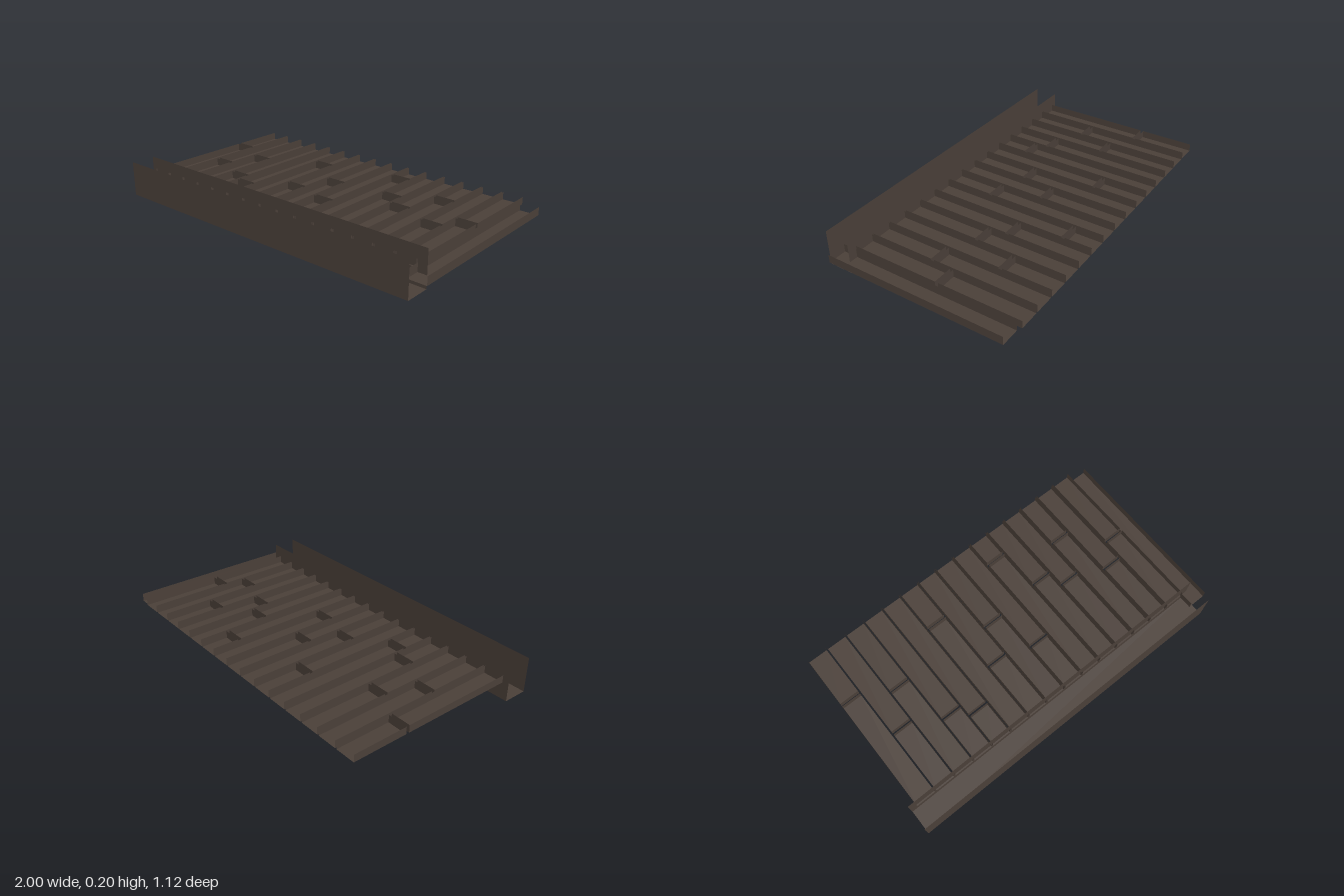
import * as THREE from 'three';
import { mergeGeometries } from 'three/addons/utils/BufferGeometryUtils.js';

const darkBronze = new THREE.MeshStandardMaterial({ color: 0x4b4039, side: THREE.DoubleSide });
darkBronze.name = 'darkBronze';

// Open sheet-metal trough: floor plus the chosen upright walls
function trough(name, [x0, x1], [y0, y1], [z0, z1], walls) {
  const w = x1 - x0, h = y1 - y0, d = z1 - z0;
  const cx = (x0 + x1) / 2, cy = (y0 + y1) / 2, cz = (z0 + z1) / 2;
  const sheets = [new THREE.PlaneGeometry(w, d).rotateX(-Math.PI / 2).translate(cx, y0, cz)];
  const sides = {
    left: () => new THREE.PlaneGeometry(d, h).rotateY(Math.PI / 2).translate(x1, cy, cz),
    right: () => new THREE.PlaneGeometry(d, h).rotateY(-Math.PI / 2).translate(x0, cy, cz),
    front: () => new THREE.PlaneGeometry(w, h).translate(cx, cy, z1),
    back: () => new THREE.PlaneGeometry(w, h).rotateY(Math.PI).translate(cx, cy, z0),
  };
  for (const wall of walls) sheets.push(sides[wall]());
  const mesh = new THREE.Mesh(mergeGeometries(sheets), darkBronze);
  mesh.name = name;
  return mesh;
}

export function createModel() {
  const model = new THREE.Group();
  model.name = 'panelFloor';

  // Deep channel along the front and shallow channel along one side
  model.add(trough('frontChannel', [-1, 0.942], [0, 0.2], [0.42, 0.56], ['front', 'back']));
  model.add(trough('sideChannel', [0.891, 0.997], [0.068, 0.115], [-0.535, 0.503], ['left', 'right']));

  // Row of trays, each split in two at a staggered joint
  const joints = [-0.24, 0.053, -0.139, 0.155, 0.228, -0.3, 0.078, -0.113,
    0.134, -0.397, -0.143, -0.043, -0.273, 0.037, -0.086];
  const trays = new THREE.Group();
  trays.name = 'trays';
  joints.forEach((z, i) => {
    const x = -0.905 + i * 0.124, half = 0.0573, gap = 0.009;
    const xs = [x - half, x + half], ys = [0.093, 0.135];
    trays.add(trough('backTray', xs, ys, [-0.562, z - gap], ['left', 'right', 'front']));
    trays.add(trough('frontTray', xs, ys, [z + gap, 0.428], ['left', 'right', 'back']));
  });
  model.add(trays);
  return model;
}
